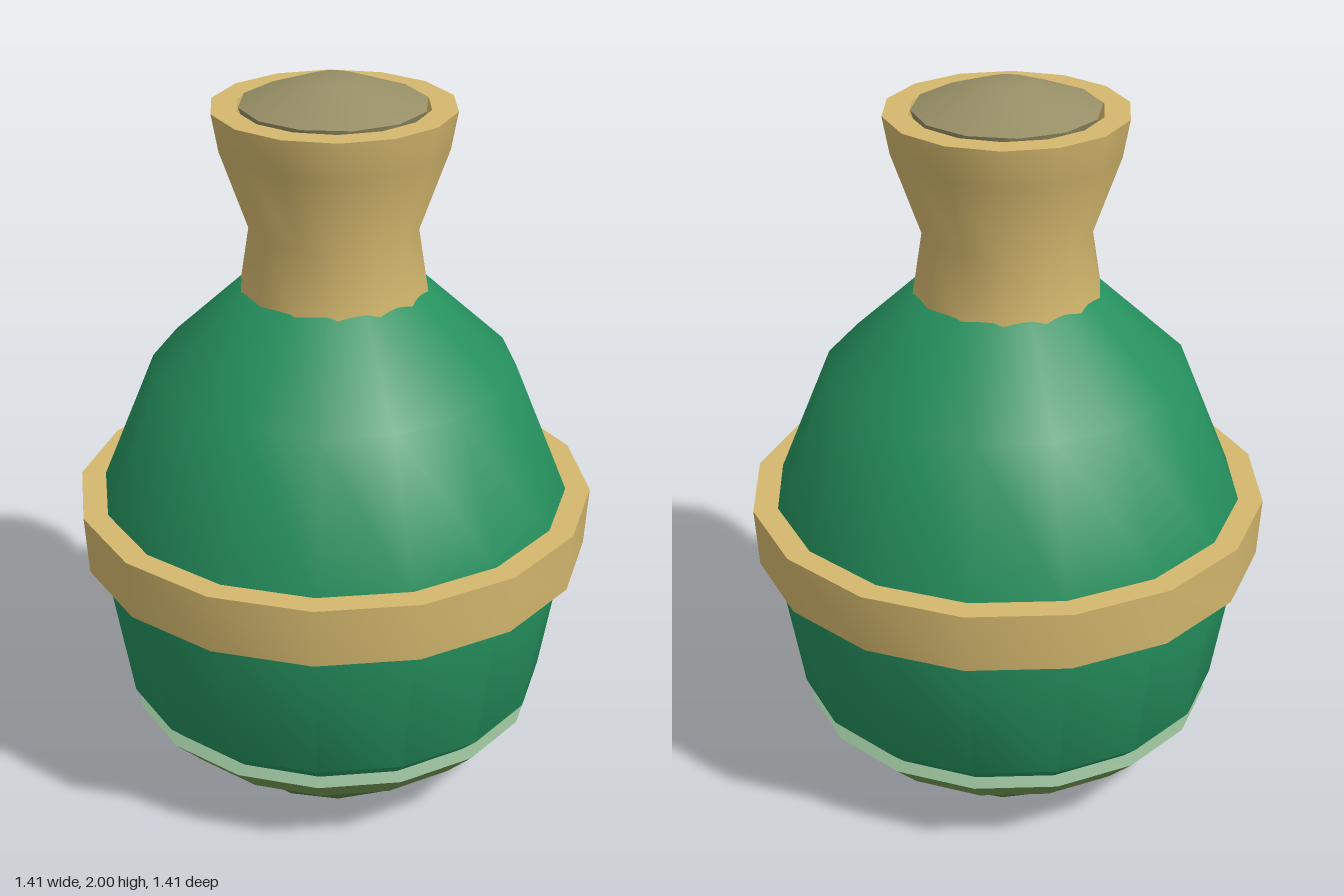
import * as THREE from 'three';
import { toCreasedNormals } from 'three/addons/utils/BufferGeometryUtils.js';

const material = (name, color) => new THREE.MeshStandardMaterial({ name, color });

export function createModel() {
  const green = material('bottle green', 0x25905e);
  const gold = material('gold', 0xd4b86e);
  const cork = material('cork brown', 0x978f66);
  const moss = material('moss green', 0x769a56);
  const darkMoss = material('dark moss green', 0x587c46);
  const sage = material('pale sage', 0x8aae8c);
  const group = new THREE.Group();
  group.name = 'potionBottle';

  // Turned part with a vertex on +x; profile runs upward along the outside.
  function turned(name, mat, sides, profile) {
    const lathe = new THREE.LatheGeometry(profile.map(([r, y]) => new THREE.Vector2(r, y)), sides);
    lathe.rotateY(Math.PI / 2);
    const mesh = new THREE.Mesh(toCreasedNormals(lathe, 0.7), mat);
    mesh.name = name;
    group.add(mesh);
    return mesh;
  }

  // Bulging glass body
  turned('body', green, 16, [
    [0.46, 0.17], [0.585, 0.29], [0.655, 0.71], [0.64, 0.85], [0.49, 1.22], [0.25, 1.445], [0.2, 1.47],
  ]);

  // Band round the widest part
  turned('band', gold, 16, [[0.62, 0.69], [0.695, 0.69], [0.705, 0.855], [0.62, 0.855]]);

  // Flared neck with a flat rim and an inner wall
  turned('neck', gold, 14, [
    [0.255, 1.4], [0.252, 1.44], [0.225, 1.61], [0.302, 1.83], [0.32, 1.93], [0.252, 1.93], [0.235, 1.82], [0, 1.82],
  ]);

  // Domed stopper
  turned('stopper', cork, 12, [[0.21, 1.83], [0.246, 1.936], [0.07, 2], [0, 2]]);

  // Saucer holding the body, with a pale upper rim
  turned('saucer', moss, 16, [[0.38, 0.14], [0.48, 0.14], [0.57, 0.23]]);
  turned('saucerRim', sage, 16, [[0.57, 0.23], [0.5, 0.255]]);

  // Tapered foot
  turned('foot', darkMoss, 14, [[0, 0], [0.3, 0], [0.435, 0.141]]);

  return group;
}
